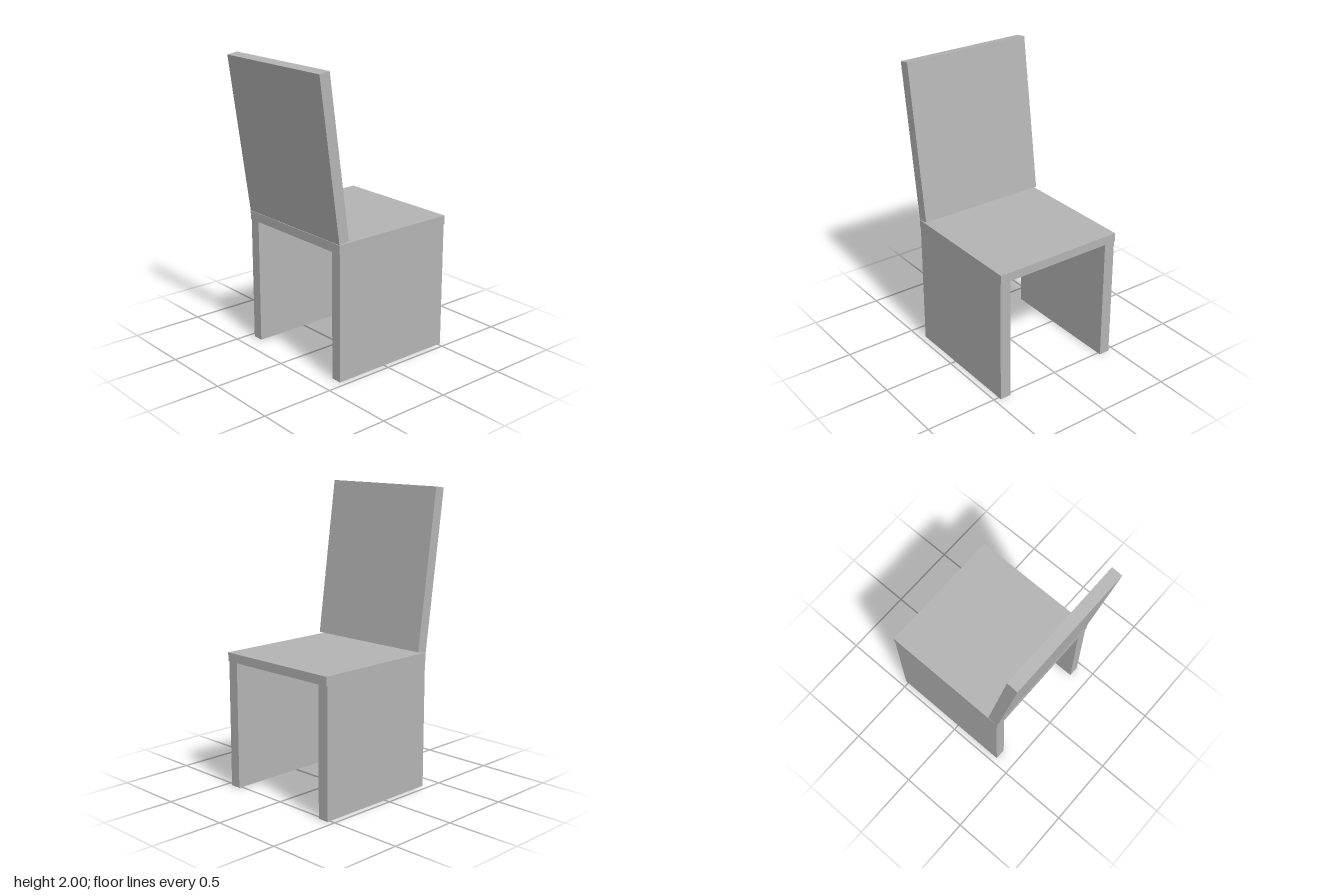
import * as THREE from 'three';

export function createModel() {
  const chair = new THREE.Group();
  chair.name = 'chair';

  const grey = new THREE.MeshStandardMaterial({ color: 0xb4b4b4 });
  grey.name = 'plain grey';

  const addPanel = (name, size, position) => {
    const panel = new THREE.Mesh(new THREE.BoxGeometry(...size), grey);
    panel.name = name;
    panel.position.set(...position);
    chair.add(panel);
    return panel;
  };

  const width = 0.92;
  const legHeight = 0.863;
  const legThickness = 0.077;

  // Seat slab, slightly overhanging the legs front and back
  addPanel('seat', [width, 0.06, 0.915], [0, legHeight + 0.03, -0.0725]);

  // Solid side panels serving as legs
  for (const [name, side] of [['leftLeg', 1], ['rightLeg', -1]]) {
    addPanel(name, [legThickness, legHeight, 0.9],
      [side * (width - legThickness) / 2, legHeight / 2, -0.072]);
  }

  // Backrest leaning outward over the +z edge of the seat
  const backrest = addPanel('backrest', [width, 1.075, 0.077], [0, 1.4625, 0.421]);
  backrest.rotation.x = THREE.MathUtils.degToRad(8);

  return chair;
}
